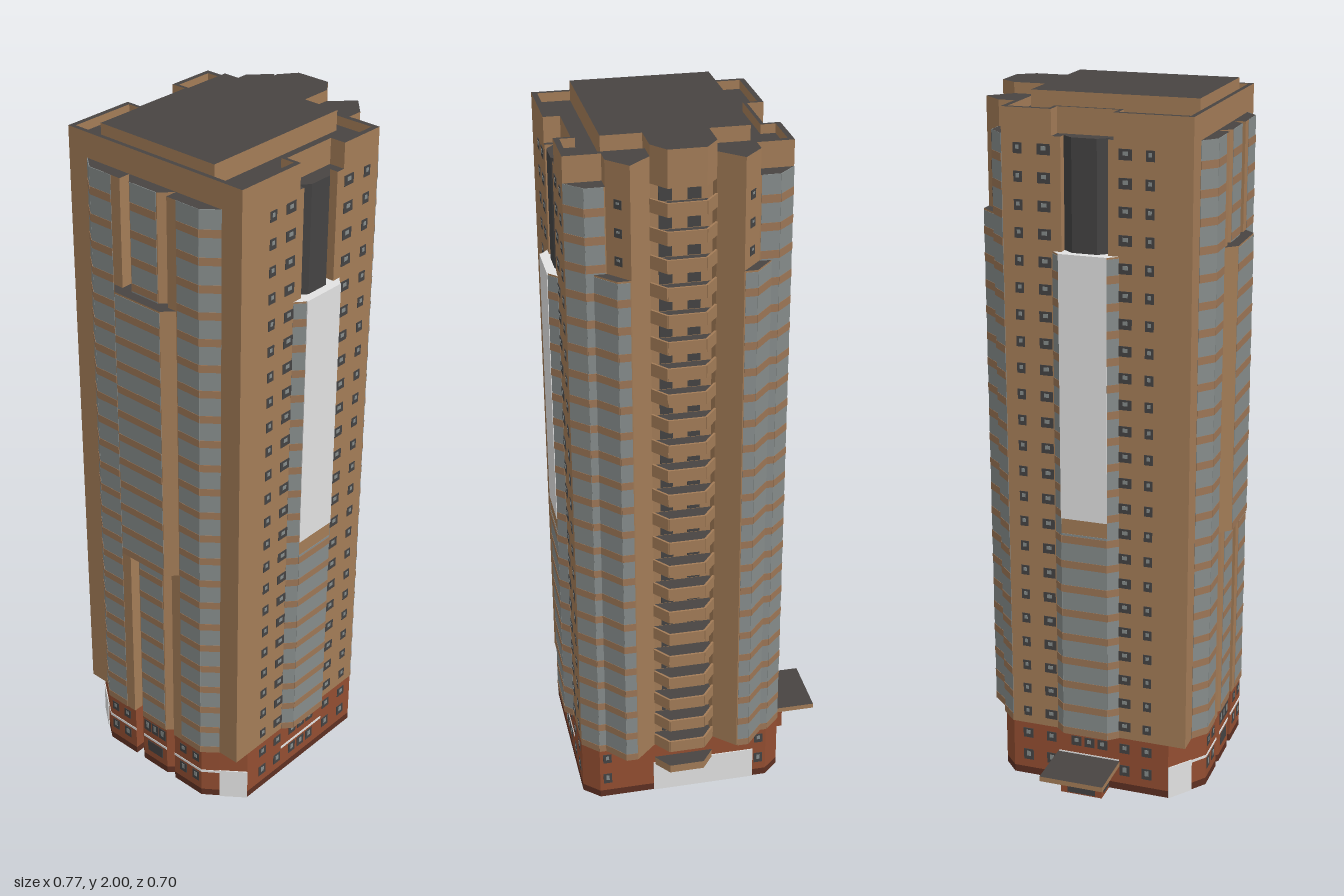
import * as THREE from 'three';
import { mergeGeometries } from 'three/addons/utils/BufferGeometryUtils.js';

const paint = (name, color) => {
  const m = new THREE.MeshStandardMaterial({ color });
  m.name = name;
  return m;
};

export function createModel() {
  const wall = paint('tan wall', 0xa37c57), band = paint('spandrel tan', 0x9c7656);
  const glass = paint('grey glass', 0x868c8b), roof = paint('charcoal roof', 0x484442);
  const white = paint('white panel', 0xe2e2e2), brick = paint('red brick', 0x934e31);
  const plinthMat = paint('dark brick', 0x5e3022), dark = paint('dark window', 0x444343);

  const model = new THREE.Group();
  model.name = 'apartmentTower';
  const tower = new THREE.Group();
  tower.name = 'tower';
  tower.position.x = 0.065; // the canopy offsets the tower from the middle
  model.add(tower);

  const FLOORS = 23, Y0 = 0.17, Y1 = 1.9, H = (Y1 - Y0) / FLOORS;
  const floorY = Array.from({ length: FLOORS }, (_, i) => Y0 + i * H);
  const sides = [1, -1];

  const add = (name, geo, mat) => {
    const m = new THREE.Mesh(geo, mat);
    m.name = name;
    tower.add(m);
  };
  // Vertical prism over a plan outline of [x, z] points
  const prism = (name, pts, y0, y1, side = wall, cap = roof, hole) => {
    const v = p => new THREE.Vector2(p[0], -p[1]);
    const shape = new THREE.Shape(pts.map(v));
    if (hole) shape.holes.push(new THREE.Path(hole.map(v)));
    const geo = new THREE.ExtrudeGeometry(shape, { depth: y1 - y0, bevelEnabled: false });
    geo.rotateX(-Math.PI / 2).translate(0, y0, 0);
    add(name, geo, [cap, side]);
  };
  // Thin plate on the wall line a-b
  const plate = (a, b, y0, y1, t) => {
    const dx = b[0] - a[0], dz = b[1] - a[1];
    return new THREE.BoxGeometry(Math.hypot(dx, dz), y1 - y0, t)
      .rotateY(Math.atan2(-dz, dx))
      .translate((a[0] + b[0]) / 2, (y0 + y1) / 2, (a[1] + b[1]) / 2);
  };
  const plates = (name, a, b, ranges, mat, t = 0.003) =>
    add(name, mergeGeometries(ranges.map(([lo, hi]) => plate(a, b, lo, hi, t))), mat);
  // Glass strip with a spandrel at each floor
  const glaze = (name, a, b, y0, y1) => {
    plates(name + 'Glass', a, b, [[y0, y1]], glass, 0.002);
    const ranges = floorY.filter(y => y >= y0 - 0.01 && y + 0.022 < y1).map(y => [y, y + 0.022]);
    plates(name + 'Spandrels', a, b, ranges, band, 0.004);
  };
  // Dark-framed windows with a paler pane in the middle
  const windows = (name, a, b, ranges) => {
    const at = t => [a[0] + (b[0] - a[0]) * t, a[1] + (b[1] - a[1]) * t];
    plates(name + 'Frames', a, b, ranges, dark);
    plates(name + 'Panes', at(0.3), at(0.7), ranges.map(([lo, hi]) => [lo + 0.012, hi - 0.006]), glass, 0.005);
  };
  const mirrorX = (pts, s) => pts.map(([x, z]) => [s * x, z]);
  // Full symmetric outline from its right half
  const both = half => [...half, ...half.map(([x, z]) => [-x, z]).reverse()];

  // Main shaft with a slot in each flank
  prism('shaft', both([[0.295, 0.28], [0.295, 0.05], [0.27, 0.05], [0.27, -0.08],
    [0.295, -0.08], [0.295, -0.245]]), Y0, Y1);

  // Parapet, sunken roof and penthouse
  const sunken = both([[0.28, 0.267], [0.28, 0.075], [0.24, 0.075], [0.24, -0.115], [0.28, -0.115], [0.28, -0.23]]);
  prism('parapet',
    both([[0.295, 0.28], [0.295, 0.065], [0.25, 0.065], [0.25, -0.105], [0.295, -0.105], [0.295, -0.245]]),
    Y1, 1.97, wall, roof, sunken);
  prism('roofDeck', sunken, Y1, 1.945);
  const backCentre = [[0.085, -0.29], [0.05, -0.337]];
  prism('penthouse', both([[0.192, 0.265], [0.192, -0.2], [0.085, -0.2], ...backCentre]), Y1, 2);

  // Front bays
  prism('frontMiddleBay', both([[0.0475, 0.315], [0.08, 0.28], [0.08, 0.27]]), Y0, Y1);
  glaze('frontMiddle', [-0.045, 0.315], [0.045, 0.315], Y0, Y1);
  prism('frontProjectingBay', both([[0.08, 0.345], [0.109, 0.315], [0.109, 0.27]]), 0.77, 1.595);
  glaze('frontProjecting', [-0.079, 0.345], [0.079, 0.345], 0.775, 1.59);

  for (const s of sides) {
    const P = (x, z) => [s * x, z];
    prism('frontBay', mirrorX([[0.08, 0.27], [0.08, 0.315], [0.187, 0.315], [0.23, 0.28], [0.23, 0.27]], s), Y0, Y1);
    glaze('frontBay', P(0.112, 0.315), P(0.187, 0.315), Y0, Y1);
    glaze('frontBayChamfer', P(0.187, 0.315), P(0.23, 0.28), Y0, Y1);

    // Flank bay, white on its upper half, with a dark shaft above
    prism('flankBay', mirrorX([[0.25, 0.08], [0.295, 0.08], [0.318, 0.053], [0.318, -0.08],
      [0.295, -0.105], [0.25, -0.105]], s), Y0, 1.595, wall, white);
    glaze('flankBay', P(0.318, 0.053), P(0.318, -0.08), Y0, 0.8);
    glaze('flankBayFront', P(0.295, 0.08), P(0.318, 0.053), Y0, 1.59);
    glaze('flankBayBack', P(0.295, -0.105), P(0.318, -0.08), Y0, 1.59);
    plates('flankWhitePanel', P(0.318, 0.054), P(0.318, -0.081), [[0.845, 1.596]], white, 0.005);
    prism('flankDarkShaft', mirrorX([[0.26, 0.05], [0.27, 0.05], [0.295, 0.02], [0.295, -0.05],
      [0.27, -0.08], [0.26, -0.08]], s), 1.59, Y1, dark);

    // Small flank windows
    for (const [z, w] of [[0.165, 0.024], [0.098, 0.036], [-0.127, 0.036], [-0.2, 0.024]])
      windows('flankWindow', P(0.295, z - w / 2), P(0.295, z + w / 2),
        floorY.map(y => [y + 0.025, y + 0.054]));

    // Rear corner bay and pointed rear bay
    prism('rearCornerBay', mirrorX([[0.197, -0.24], [0.197, -0.29], [0.25, -0.29], [0.295, -0.245], [0.295, -0.24]], s), Y0, Y1);
    glaze('rearCorner', P(0.25, -0.29), P(0.295, -0.245), Y0, Y1);
    glaze('rearCornerFlat', P(0.2, -0.29), P(0.25, -0.29), Y0, Y1);
    prism('rearBay', mirrorX([[0.085, -0.24], [0.085, -0.29], [0.145, -0.347], [0.18, -0.347],
      [0.23, -0.29], [0.23, -0.24]], s), Y0, 1.67);
    glaze('rearBay', P(0.18, -0.347), P(0.23, -0.29), Y0, 1.665);
    glaze('rearBayFlat', P(0.148, -0.347), P(0.18, -0.347), Y0, 1.665);
    prism('rearBayTop', mirrorX([[0.085, -0.24], [0.085, -0.29], [0.145, -0.347], [0.197, -0.29],
      [0.197, -0.24]], s), 1.67, 1.97);
    windows('rearTopWindow', P(0.163, -0.3275), P(0.179, -0.3095),
      floorY.slice(-3).map(y => [y + 0.026, y + 0.05]));
  }

  // Rear balconies: slab, three-sided rail and doors behind
  const balcony = both([[0.085, -0.24], ...backCentre]);
  for (const y of floorY) prism('balconySlab', balcony, y, y + 0.008);
  const rails = floorY.map(y => [y + 0.001, y + 0.037]);
  plates('balconyFrontRail', [-0.05, -0.335], [0.05, -0.335], rails, wall, 0.006);
  for (const s of sides) {
    plates('balconySideRail', [s * 0.05, -0.335], [s * 0.085, -0.29], rails, wall, 0.006);
    plates('balconyDoors', [s * 0.02, -0.245], [s * 0.055, -0.245], floorY.map(y => [y + 0.01, y + 0.056]), dark);
  }

  // Brick base
  const base = both([[0.0475, 0.312], [0.08, 0.282], [0.08, 0.312], [0.187, 0.312], [0.23, 0.28],
    [0.295, 0.23], [0.295, -0.245], [0.25, -0.287], [0.085, -0.287]]);
  prism('plinth', base, 0, 0.022, plinthMat, white);
  prism('base', base, 0.022, Y0, brick, brick);
  const rows = [[0.048, 0.082], [0.122, 0.152]];
  const lineY = [[0.09, 0.098]];
  plates('baseFrontLine', [-0.0475, 0.312], [0.0475, 0.312], lineY, white);
  for (const x of [-0.03, 0, 0.03])
    windows('baseMiddleWindow', [x - 0.013, 0.312], [x + 0.013, 0.312], [[0.12, 0.158]]);
  plates('baseDoor', [-0.03, 0.312], [0.03, 0.312], [[0.045, 0.082]], dark);
  for (const s of sides) {
    plates('cornerPanel', [s * 0.23, 0.28], [s * 0.295, 0.23], [[0, 0.1]], white, 0.006);
    plates('baseFrontLine', [s * 0.08, 0.312], [s * 0.187, 0.312], lineY, white);
    plates('baseChamferLine', [s * 0.187, 0.312], [s * 0.23, 0.28], lineY, white);
    plates('baseSideLine', [s * 0.295, 0.08], [s * 0.295, -0.105], lineY, white);
    for (const x of [0.115, 0.165])
      windows('baseFrontWindow', [s * (x - 0.013), 0.312], [s * (x + 0.013), 0.312], rows);
    for (const z of [0.165, 0.098, 0.03, -0.01, -0.05, -0.127, -0.2])
      windows('baseSideWindow', [s * 0.295, z - 0.015], [s * 0.295, z + 0.015], rows);
    windows('baseRearWindow', [s * 0.215, -0.287], [s * 0.24, -0.287], rows);
  }
  plates('rearWhitePanel', [-0.21, -0.287], [0.09, -0.287], [[0, 0.1]], white, 0.006);
  prism('rearCanopy', balcony, 0.095, 0.12);

  // Side entrance under its canopy
  prism('entranceCanopy', [[-0.45, 0.083], [-0.28, 0.083], [-0.28, -0.107], [-0.45, -0.107]], 0.079, 0.094);
  prism('entranceLobby', [[-0.36, 0.05], [-0.28, 0.05], [-0.28, -0.075], [-0.36, -0.075]], 0, 0.079, brick, white);
  plates('entranceDoor', [-0.36, 0.03], [-0.36, -0.055], [[0.004, 0.06]], dark);
  plates('entranceSideGlass', [-0.345, 0.05], [-0.3, 0.05], [[0.01, 0.06]], dark);

  return model;
}
